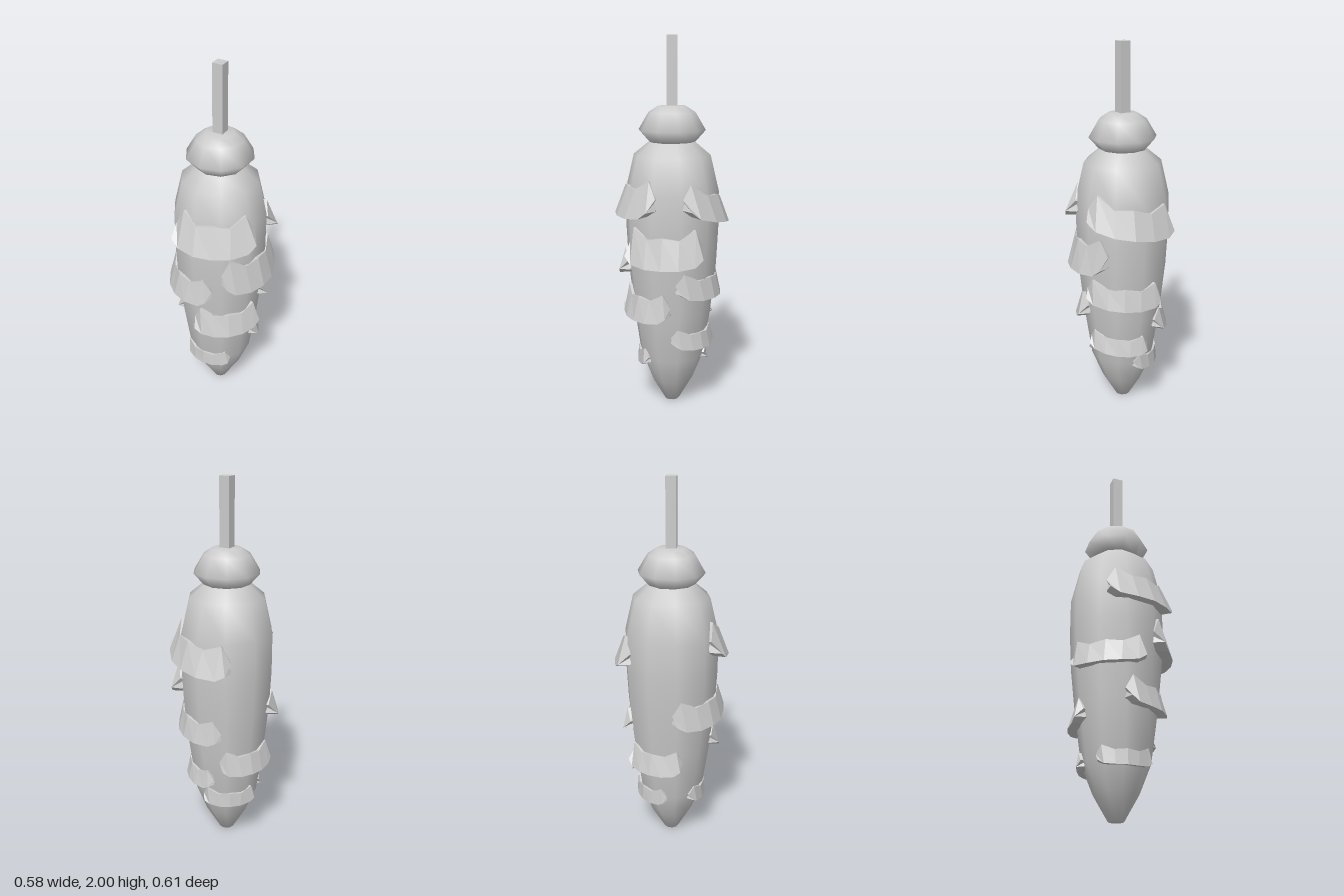
import * as THREE from 'three';

const rad = THREE.MathUtils.degToRad;
const material = new THREE.MeshStandardMaterial({ color: 0xcccccc });
const flatMaterial = new THREE.MeshStandardMaterial({ color: 0xcccccc, flatShading: true });

// Body profile as [radius, height]
const BODY = [[0.04, 0], [0.115, 0.13], [0.175, 0.28], [0.213, 0.55], [0.24, 0.8],
  [0.25, 1.0], [0.25, 1.2], [0.205, 1.39], [0.12, 1.46]];
const CAP = [[0.11, 1.45], [0.125, 1.46], [0.178, 1.52], [0.125, 1.61], [0.075, 1.643], [0, 1.648]];

function bodyRadius(y) {
  for (let i = 1; i < BODY.length; i++) {
    const [r0, y0] = BODY[i - 1], [r1, y1] = BODY[i];
    if (y <= y1) return r0 + (r1 - r0) * (y - y0) / (y1 - y0);
  }
  return BODY[BODY.length - 1][0];
}

function lathe(name, profile) {
  const points = profile.map(([r, y]) => new THREE.Vector2(r, y));
  const mesh = new THREE.Mesh(new THREE.LatheGeometry(points, 10, rad(-5.8)), material);
  mesh.name = name;
  return mesh;
}

// Stations along a scale: [position -1..1, top edge, lip, underside], as fractions of its height
const STATIONS = [[-1, 0.55, 0.24, 0.25], [-0.8, 1, 0.06, 0.1], [-0.4, 0.74, 0, 0.06], [0, 0.8, 0, 0.06],
  [0.4, 0.74, 0, 0.06], [0.8, 1, 0.06, 0.1], [1, 0.55, 0.24, 0.25]];

// A notched scale wrapped round the body: flush at the top, flaring to a lip at the bottom
function scale(center, half, y0, height, flare, tilt) {
  const position = [], index = [], n = 5;
  const add = (deg, r, y) => position.push(r * Math.sin(rad(deg)), y, r * Math.cos(rad(deg)));
  for (const [t, top, lip, under] of STATIONS) {
    const base = y0 + tilt * t / 2;
    const [yt, yl, yu] = [top, lip, under].map((f) => base + f * height);
    const a = center + half * t, lipAngle = center + half * t * 0.88;
    add(a, bodyRadius(yt) * 0.85, yt);
    add(a, bodyRadius(yt) + 0.006, yt);
    add(lipAngle, bodyRadius(yl) + flare, yl);
    add(a, bodyRadius(yu), yu);
    add(a, bodyRadius(yu) * 0.85, yu);
  }
  const last = (STATIONS.length - 1) * n;
  for (let s = 0; s < last; s += n) {
    for (let j = 0; j < n; j++) {
      const k = (j + 1) % n;
      index.push(s + j, s + k, s + n + k, s + j, s + n + k, s + n + j);
    }
  }
  // End caps
  for (let j = 1; j < n - 1; j++) index.push(0, j + 1, j, last, last + j, last + j + 1);
  const geometry = new THREE.BufferGeometry();
  geometry.setAttribute('position', new THREE.Float32BufferAttribute(position, 3));
  geometry.setIndex(index);
  const flat = geometry.toNonIndexed();
  flat.computeVertexNormals();
  return new THREE.Mesh(flat, flatMaterial);
}

// [centre angle, half angle, base height, height, flare, tilt]; angle 0 faces the front
const SCALES = [
  [20, 52, 1.08, 0.2, 0.056, 0],
  [160, 56, 1.05, 0.18, 0.056, -0.08],
  [80, 50, 0.83, 0.2, 0.058, 0],
  [-33, 51, 0.73, 0.16, 0.052, 0.01],
  [40, 49, 0.52, 0.16, 0.054, 0],
  [150, 54, 0.64, 0.14, 0.045, -0.03],
  [246, 45, 0.45, 0.14, 0.05, 0],
  [140, 50, 0.355, 0.11, 0.04, -0.03],
  [-3, 50, 0.235, 0.1, 0.035, 0],
  [217, 50, 0.235, 0.1, 0.035, 0],
];

export function createModel() {
  const model = new THREE.Group();
  model.name = 'scaledCone';

  const body = lathe('body', [[0, 0], ...BODY]);
  const cap = lathe('cap', CAP);

  const stem = new THREE.Mesh(new THREE.BoxGeometry(0.056, 0.4, 0.056), material);
  stem.name = 'stem';
  stem.position.y = 1.8;

  const scales = new THREE.Group();
  scales.name = 'scales';
  SCALES.forEach((spec, i) => {
    const mesh = scale(...spec);
    mesh.name = `scale${i + 1}`;
    scales.add(mesh);
  });

  // The axis sits slightly off centre because the scales are uneven
  const cone = new THREE.Group();
  cone.name = 'cone';
  cone.position.set(-0.013, 0, -0.007);
  cone.add(body, cap, stem, scales);
  model.add(cone);
  return model;
}
